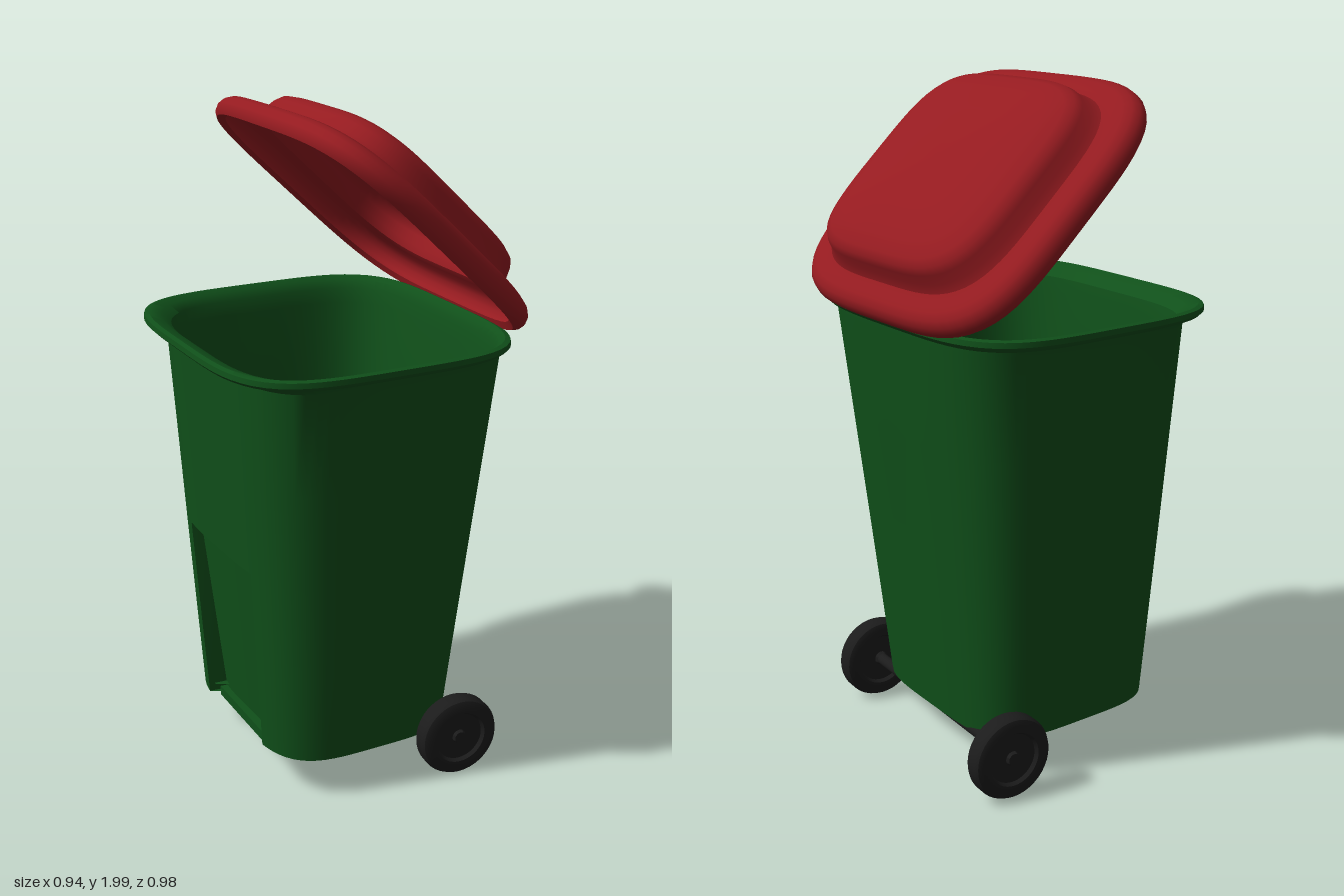
import * as THREE from 'three';
import { toCreasedNormals } from 'three/addons/utils/BufferGeometryUtils.js';

const GREEN = new THREE.MeshStandardMaterial({ color: 0x10501a });
const RED = new THREE.MeshStandardMaterial({ color: 0x951b20, side: THREE.DoubleSide });
const BLACK = new THREE.MeshStandardMaterial({ color: 0x1c1c1c });

const NOTCH = 0.47; // half angle of the foot recess on the -x wall

// Angles around a loop, with close pairs where the recess walls step in
const ANGLES = Array.from({ length: 96 }, (_, i) => (i / 96) * Math.PI * 2);
ANGLES.push(Math.PI - NOTCH, Math.PI + NOTCH, Math.PI - NOTCH - 0.012, Math.PI + NOTCH + 0.012);
ANGLES.sort((a, b) => a - b);

// Skins rounded-square loops [centreX, halfX, halfZ, y]; warp may move each point
function loft(loops, warp) {
  const pos = [], index = [], n = ANGLES.length;
  for (const [cx, hx, hz, y] of loops) {
    for (const a of ANGLES) {
      const c = Math.cos(a), s = Math.sin(a);
      const r = (c ** 4 + s ** 4) ** -0.25;
      const p = new THREE.Vector3(cx + hx * r * c, y, hz * r * s);
      if (warp && hx > 0) warp(p, a);
      pos.push(p.x, p.y, p.z);
    }
  }
  for (let i = 0; i < loops.length - 1; i++) {
    for (let j = 0; j < n; j++) {
      const k = (j + 1) % n;
      const a = i * n + j, b = i * n + k, c = a + n, d = b + n;
      index.push(a, c, b, b, c, d);
    }
  }
  const g = new THREE.BufferGeometry();
  g.setAttribute('position', new THREE.Float32BufferAttribute(pos, 3));
  g.setIndex(index);
  return toCreasedNormals(g, 0.6);
}

function add(parent, name, geometry, material) {
  const mesh = new THREE.Mesh(geometry, material);
  mesh.name = name;
  parent.add(mesh);
  return mesh;
}

// Wall loop at height y, inset by the wall thickness
function wall(y, inset = 0) {
  const t = (y - 0.13) / 1.19;
  return [-0.02 + 0.02 * t, 0.31 + 0.095 * t - inset, 0.355 + 0.105 * t - inset, y];
}

function binGeometry() {
  const loops = [
    [-0.02, 0, 0, 0.13],
    wall(0.13), wall(0.4), wall(0.71), wall(0.715), wall(1.0), wall(1.31),
    // rolled rim
    [-0.01, 0.415, 0.465, 1.325], [-0.02, 0.44, 0.482, 1.333],
    [-0.02, 0.45, 0.49, 1.343], [-0.02, 0.448, 0.489, 1.358],
    [-0.02, 0.435, 0.477, 1.362], [-0.01, 0.41, 0.458, 1.35],
    [0, 0.392, 0.445, 1.325],
    // inside walls and floor
    wall(1.28, 0.018), wall(1.0, 0.018), wall(0.725, 0.018), wall(0.72, 0.018),
    wall(0.4, 0.018), wall(0.155, 0.018),
    [-0.02, 0, 0, 0.155],
  ];
  return loft(loops, (p, a) => {
    // the bottom narrows slightly toward +z
    p.x *= 1 - 0.12 * p.z * Math.max(0, 1 - p.y / 1.2);
    // foot recess, deepest at the floor
    const inside = Math.abs(a - Math.PI) < NOTCH + 0.001;
    if (inside && p.y < 0.7205 && p.y !== 0.715) p.x += 0.06 - 0.05 * (p.y - 0.13);
  });
}

function lidGeometry() {
  return loft([
    // rounded outer flange
    [0, 0.415, 0.455, 0.012], [0, 0.435, 0.475, 0], [0, 0.447, 0.487, 0.012],
    [0, 0.452, 0.492, 0.03], [0, 0.448, 0.488, 0.05], [0, 0.436, 0.475, 0.066],
    [0, 0.415, 0.455, 0.076], [0, 0.385, 0.425, 0.078],
    // step and domed crown
    [0, 0.365, 0.402, 0.084], [0, 0.353, 0.386, 0.105], [0, 0.347, 0.376, 0.135],
    [0, 0.338, 0.364, 0.155], [0, 0.318, 0.342, 0.168], [0, 0.27, 0.29, 0.181],
    [0, 0.18, 0.2, 0.193], [0, 0.09, 0.1, 0.199], [0, 0, 0, 0.2],
  ]);
}

function wheelGeometry() {
  // half profile: hub, dished face, raised tyre
  const half = [[0, 0.032], [0.018, 0.032], [0.022, 0.022], [0.075, 0.022], [0.082, 0.033],
    [0.105, 0.034], [0.12, 0.028], [0.126, 0.016]];
  const profile = [
    ...half.map(([r, h]) => new THREE.Vector2(r, -h)),
    ...half.slice().reverse().map(([r, h]) => new THREE.Vector2(r, h)),
  ];
  return toCreasedNormals(new THREE.LatheGeometry(profile, 40).rotateX(Math.PI / 2), 0.6);
}

export function createModel() {
  const model = new THREE.Group();
  model.name = 'wheeledBin';

  add(model, 'bin', binGeometry(), GREEN);

  const foot = add(model, 'footBar', new THREE.BoxGeometry(0.04, 0.03, 0.36), GREEN);
  foot.position.set(-0.275, 0.125, 0);

  // lid tipped open over the wheel side
  const lid = add(model, 'lid', lidGeometry(), RED);
  lid.position.set(0.106, 1.644, 0);
  lid.rotation.z = -0.753;

  // axle and wheels, set slightly askew
  const wheels = new THREE.Group();
  wheels.name = 'wheelSet';
  wheels.position.set(0.26, 0.126, 0);
  wheels.rotation.y = -0.062;
  add(wheels, 'axle', new THREE.CylinderGeometry(0.018, 0.018, 0.76, 20).rotateX(Math.PI / 2), BLACK);
  const wheel = wheelGeometry();
  for (const side of [-1, 1]) {
    add(wheels, side > 0 ? 'frontWheel' : 'backWheel', wheel, BLACK).position.z = side * 0.388;
  }
  model.add(wheels);

  return model;
}
